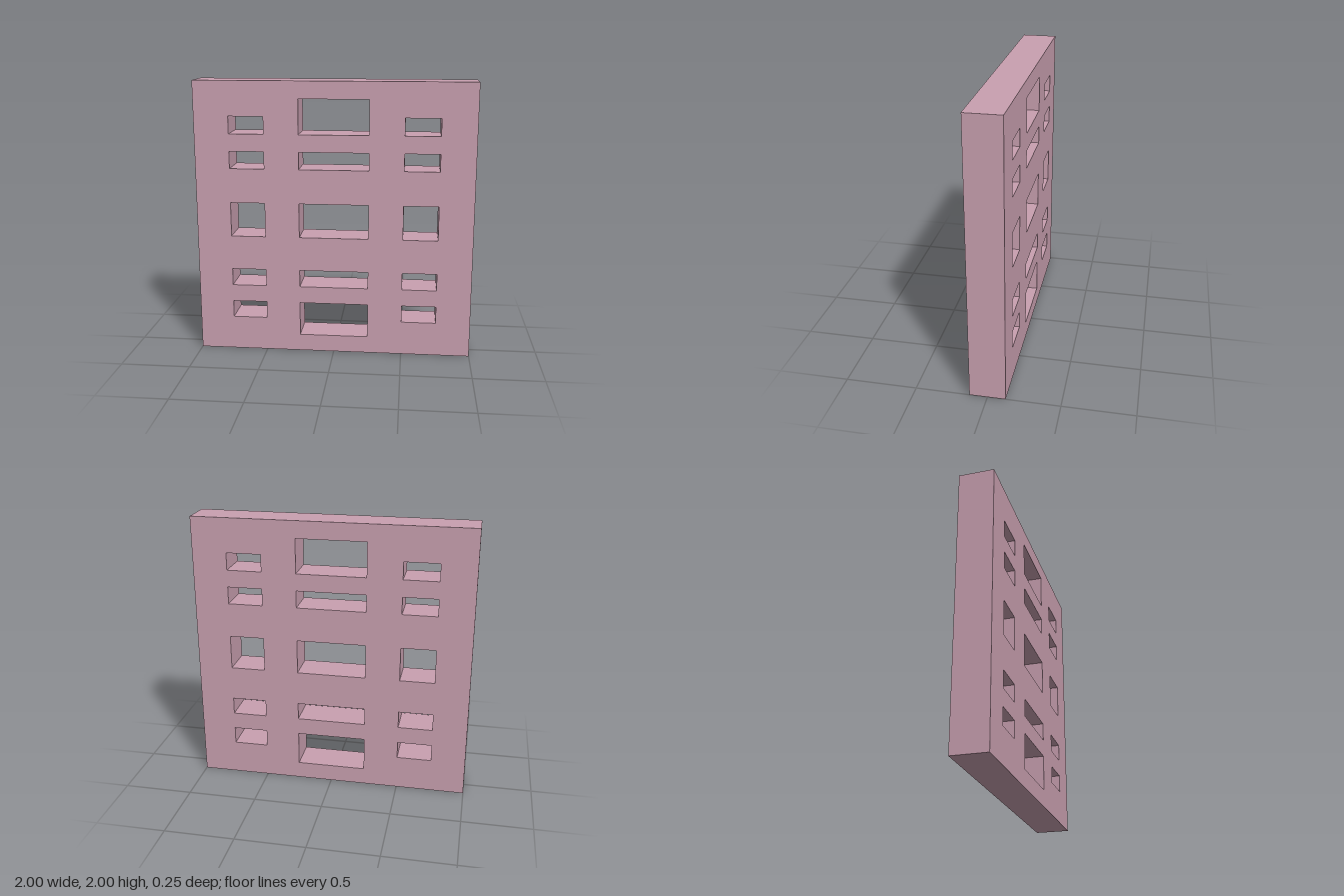
import * as THREE from 'three';

const DEPTH = 0.25;

// Closed rectangle traced on a Shape or Path
function rect(path, x0, y0, x1, y1) {
  path.moveTo(x0, y0);
  path.lineTo(x1, y0);
  path.lineTo(x1, y1);
  path.lineTo(x0, y1);
  path.closePath();
  return path;
}

export function createModel() {
  const group = new THREE.Group();
  group.name = 'screenBlock';
  const dustyPink = new THREE.MeshStandardMaterial({ color: 0xc9a0b0 });
  dustyPink.name = 'dustyPink';

  // Square slab outline
  const slab = rect(new THREE.Shape(), -1, 0, 1, 2);
  const cut = (x0, y0, x1, y1) => slab.holes.push(rect(new THREE.Path(), x0, y0, x1, y1));

  // Openings in the lower half, mirrored about y = 1: [bottom, top]
  const centreRows = [[0.125, 0.375], [0.5, 0.625]];
  const sideRows = [[0.25, 0.375], [0.5, 0.625]];
  const mirrored = rows => [...rows, [0.875, 1.125], ...rows.map(([a, b]) => [2 - b, 2 - a])];

  // Wide centre column
  for (const [y0, y1] of mirrored(centreRows)) cut(-0.25, y0, 0.25, y1);

  // Narrow columns on both sides
  for (const [y0, y1] of mirrored(sideRows)) {
    cut(-0.75, y0, -0.5, y1);
    cut(0.5, y0, 0.75, y1);
  }

  const geometry = new THREE.ExtrudeGeometry(slab, { depth: DEPTH, bevelEnabled: false });
  geometry.translate(0, 0, -DEPTH / 2);
  const panel = new THREE.Mesh(geometry, dustyPink);
  panel.name = 'perforatedPanel';
  group.add(panel);
  return group;
}
